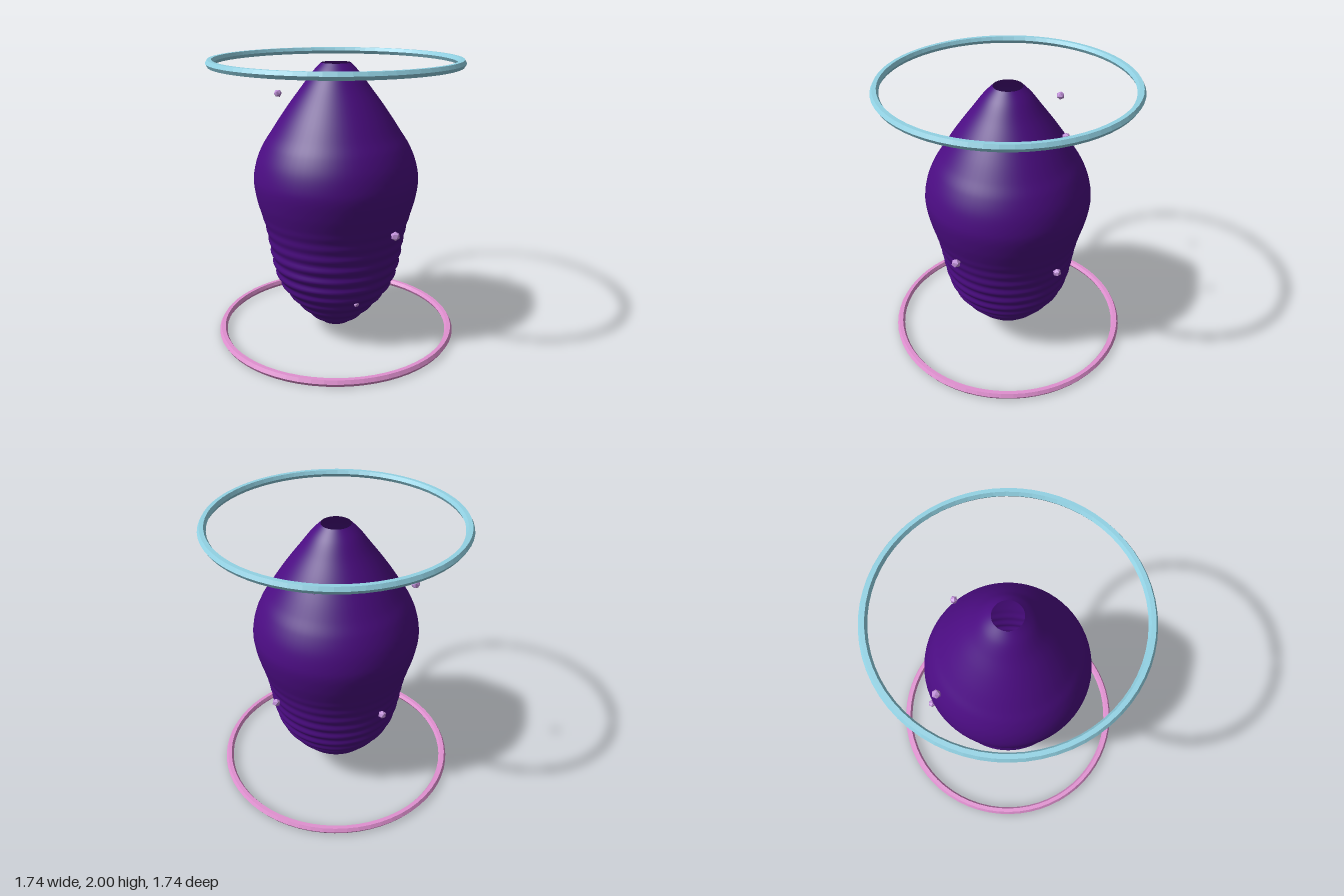
import * as THREE from 'three';

const paint = (color, extra = {}) => new THREE.MeshStandardMaterial({ color, ...extra });

export function createModel() {
  const model = new THREE.Group();
  const add = (name, geometry, material, x, y, z) => {
    const mesh = new THREE.Mesh(geometry, material);
    mesh.name = name;
    mesh.position.set(x, y, z);
    model.add(mesh);
    return mesh;
  };

  // Spindle-shaped shell, open at both ends: [radius, height]
  const outline = new THREE.SplineCurve([
    [0.11, 0.055], [0.185, 0.115], [0.27, 0.2], [0.345, 0.29], [0.405, 0.38],
    [0.44, 0.47], [0.465, 0.58], [0.485, 0.7], [0.508, 0.82], [0.535, 0.92],
    [0.562, 1.02], [0.58, 1.13], [0.577, 1.21], [0.553, 1.31], [0.508, 1.41],
    [0.45, 1.5], [0.385, 1.6], [0.315, 1.7], [0.24, 1.8], [0.165, 1.9], [0.1, 1.967],
  ].map(([r, y]) => new THREE.Vector2(r, y)));

  // Ripples around the lower half, fading out upwards
  const profile = outline.getSpacedPoints(180).map((p) => {
    const fade = THREE.MathUtils.clamp((0.95 - p.y) / 0.45, 0, 1);
    const ends = THREE.MathUtils.clamp((p.y - 0.055) / 0.05, 0, 1);
    p.x += 0.008 * fade * ends * Math.sin((p.y / 0.086) * Math.PI * 2);
    return p;
  });
  add('shell', new THREE.LatheGeometry(profile, 64),
    paint(0x4b0c82, { side: THREE.DoubleSide }), 0, 0, 0);

  // Faceted rings above and below
  const ring = new THREE.TorusGeometry(0.844, 0.0275, 6, 64).rotateX(Math.PI / 2);
  add('topRing', ring, paint(0x92d2e4, { flatShading: true }), 0, 1.976, 0);
  add('bottomRing', ring, paint(0xe090d0, { flatShading: true }), 0, 0.028, 0);

  // Small crystals floating around the shell: x, y, z, radius
  const crystalMaterial = paint(0xc090d8, { flatShading: true });
  [
    [-0.525, 1.7, -0.255, 0.03],
    [0.09, 1.7, -0.405, 0.026],
    [0.487, 0.85, 0.24, 0.033],
    [0.234, 0.337, 0.296, 0.021],
    [0.365, 0.81, -0.437, 0.029],
    [-0.365, 0.79, -0.46, 0.028],
  ].forEach(([x, y, z, r], i) => {
    const crystal = add('crystal' + (i + 1), new THREE.IcosahedronGeometry(r, 0), crystalMaterial, x, y, z);
    crystal.rotation.set(i * 1.3, i * 0.9, i * 0.5);
  });

  return model;
}
